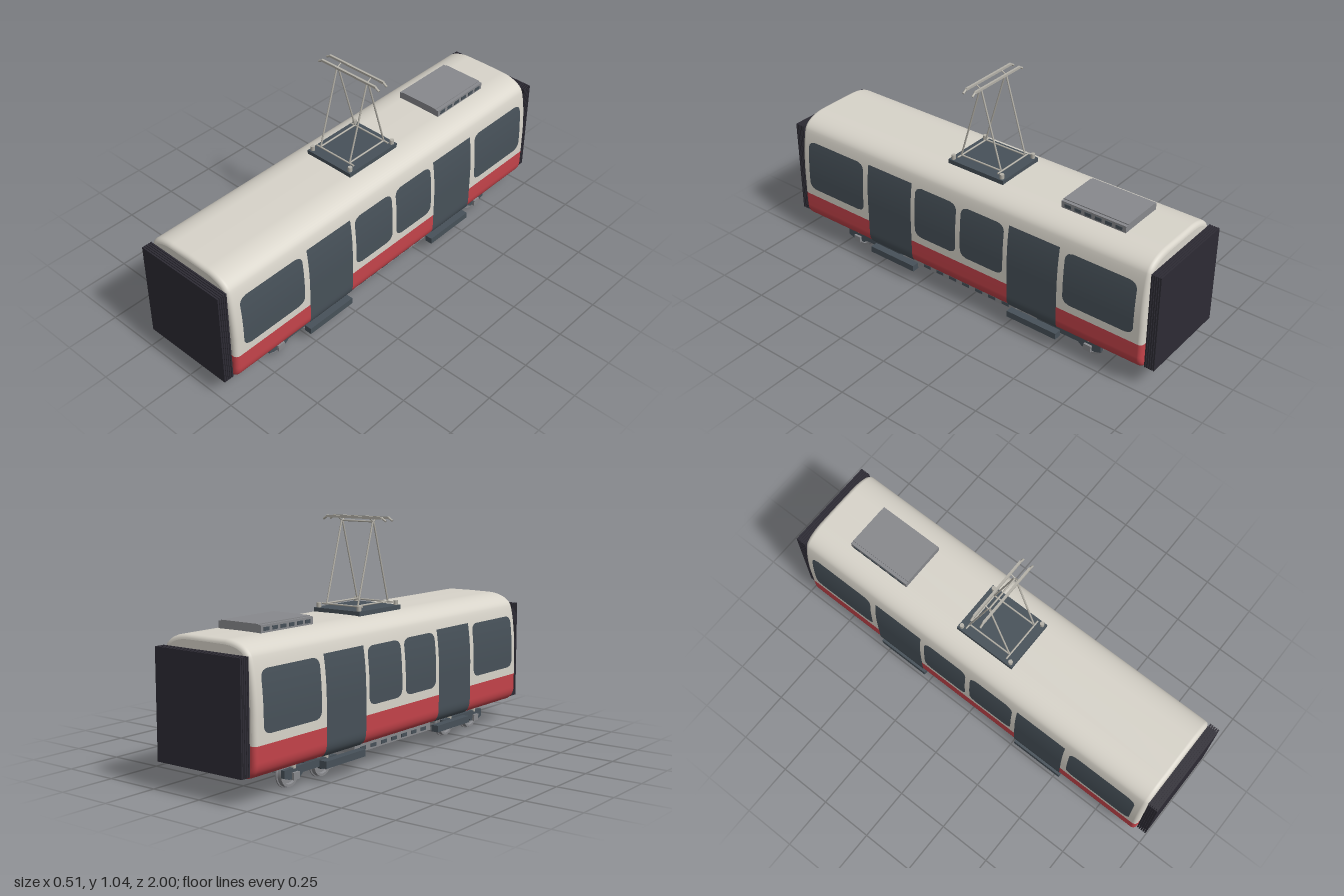
import * as THREE from 'three';
import { toCreasedNormals } from 'three/addons/utils/BufferGeometryUtils.js';

const mat = (name, color, side = THREE.FrontSide) => {
  const m = new THREE.MeshStandardMaterial({ color, side });
  m.name = name;
  return m;
};

export function createModel() {
  const model = new THREE.Group();
  model.name = 'tramCar';
  const cream = mat('cream', 0xd8d4ca), red = mat('red', 0xc4434a);
  const slate = mat('slate', 0x475159), black = mat('bellowsBlack', 0x2d2b34);
  const grey = mat('grey', 0x88898d), metal = mat('paleMetal', 0xb4b1a8);

  const add = (parent, name, geo, m) => {
    const mesh = new THREE.Mesh(geo, m);
    mesh.name = name;
    parent.add(mesh);
    return mesh;
  };
  const group = (name) => {
    const g = new THREE.Group();
    g.name = name;
    model.add(g);
    return g;
  };
  // box given by its limits on each axis
  const box = (parent, name, m, x0, x1, y0, y1, z0, z1) => {
    const b = add(parent, name, new THREE.BoxGeometry(x1 - x0, y1 - y0, z1 - z0), m);
    b.position.set((x0 + x1) / 2, (y0 + y1) / 2, (z0 + z1) / 2);
    return b;
  };
  const rod = (parent, name, m, a, b, r) => {
    const p = new THREE.Vector3(...a), q = new THREE.Vector3(...b);
    const mesh = add(parent, name, new THREE.CylinderGeometry(r, r, p.distanceTo(q), 8), m);
    mesh.position.copy(p).lerp(q, 0.5);
    mesh.quaternion.setFromUnitVectors(new THREE.Vector3(0, 1, 0), q.sub(p).normalize());
  };
  const surface = (pos, idx) => {
    const g = new THREE.BufferGeometry();
    g.setAttribute('position', new THREE.Float32BufferAttribute(pos, 3));
    g.setIndex(idx);
    g.computeVertexNormals();
    return g;
  };

  // Half cross-section of the body, from underside centre to roof centre
  const path = new THREE.Path();
  path.moveTo(0, 0.1).lineTo(0.18, 0.1);
  path.bezierCurveTo(0.225, 0.102, 0.25, 0.125, 0.25, 0.17);
  path.lineTo(0.25, 0.235).lineTo(0.25, 0.33);
  path.bezierCurveTo(0.25, 0.42, 0.24, 0.52, 0.224, 0.57);
  path.bezierCurveTo(0.212, 0.605, 0.16, 0.628, 0.1, 0.629);
  path.lineTo(0, 0.63);
  const prof = path.getPoints(12);
  const norms = prof.map((p, i) => {
    const a = prof[Math.max(i - 1, 0)], b = prof[Math.min(i + 1, prof.length - 1)];
    return i === 0 ? new THREE.Vector2(0, -1) : new THREE.Vector2(b.y - a.y, a.x - b.x).normalize();
  });

  // Body shell: rings along z with rounded ends, one mesh per colour band
  const rings = [];
  for (let k = 0; k <= 5; k++) {
    const t = (k / 5) * Math.PI / 2;
    rings.push([-0.95 + 0.02 * (1 - Math.sin(t)), 0.02 * (1 - Math.cos(t))]);
  }
  rings.reverse();
  rings.sort((a, b) => a[0] - b[0]);
  rings.push(...rings.slice().reverse().map(([z, d]) => [-z, d]));
  const shell = (name, m, i0, i1) => {
    const pos = [], idx = [], n = i1 - i0 + 1;
    const quad = (a, b, c, d, flip) => idx.push(...(flip ? [a, c, b, b, c, d] : [a, b, c, b, d, c]));
    for (const s of [1, -1]) {
      const base = pos.length / 3;
      rings.forEach(([z, inset], j) => {
        for (let i = 0; i < n; i++) {
          const p = prof[i0 + i], v = norms[i0 + i];
          pos.push(s * Math.max(p.x - v.x * inset, 0), p.y - v.y * inset, z);
          if (i && j) {
            const c = base + j * n + i;
            quad(c - n - 1, c - n, c - 1, c, s < 0);
          }
        }
      });
    }
    // flat end walls
    for (const [z, inset] of [rings[0], rings[rings.length - 1]]) {
      const base = pos.length / 3;
      for (let i = 0; i < n; i++) {
        const p = prof[i0 + i], v = norms[i0 + i];
        const x = Math.max(p.x - v.x * inset, 0), y = p.y - v.y * inset;
        pos.push(-x, y, z, x, y, z);
        const c = base + 2 * i;
        if (i) quad(c - 2, c - 1, c, c + 1, z < 0);
      }
    }
    add(model, name, surface(pos, idx), m);
  };
  const kFloor = prof.findIndex((p) => p.x > 0.179);
  const kBand = prof.findIndex((p) => p.y > 0.234);
  shell('underside', grey, 0, kFloor);
  shell('lowerBody', red, kFloor, kBand);
  shell('upperBodyAndRoof', cream, kBand, prof.length - 1);

  // Thin panes that follow the curve of the side walls
  const wallAt = (y) => {
    const i = Math.max(1, prof.findIndex((p) => p.y >= y));
    const t = (y - prof[i - 1].y) / (prof[i].y - prof[i - 1].y);
    const p = prof[i - 1].clone().lerp(prof[i], t);
    return p.addScaledVector(norms[i - 1].clone().lerp(norms[i], t).normalize(), 0.003);
  };
  const pane = (name, s, z0, z1, y0, y1, r) => {
    const pos = [], idx = [], rows = 40;
    for (let i = 0; i <= rows; i++) {
      const y = y0 + (y1 - y0) * i / rows;
      const d = Math.max(0, r - Math.min(y - y0, y1 - y));
      const inset = r - Math.sqrt(Math.max(0, r * r - d * d));
      const p = wallAt(y);
      pos.push(s * p.x, p.y, z0 + inset, s * p.x, p.y, z1 - inset);
      const a = 2 * i - 2;
      if (i) idx.push(...(s > 0 ? [a, a + 2, a + 1, a + 1, a + 2, a + 3] : [a, a + 1, a + 2, a + 1, a + 3, a + 2]));
    }
    add(model, name, surface(pos, idx), slate);
  };
  for (const s of [1, -1]) {
    for (const [z0, z1] of [[0.56, 0.905], [0.013, 0.247], [-0.247, -0.013], [-0.905, -0.56]])
      pane('window', s, z0, z1, 0.275, 0.523, 0.035);
    for (const z of [0.4, -0.4]) {
      pane('door', s, z - 0.13, z + 0.13, 0.1005, 0.53, 0);
      box(model, 'doorStep', slate, s * 0.2325 - 0.0175, s * 0.2325 + 0.0175, 0.063, 0.093, z - 0.13, z + 0.13);
    }
  }

  // Folded gangway bellows at both ends
  for (const s of [1, -1]) {
    const bellows = group('gangwayBellows');
    box(bellows, 'bellowsCore', black, -0.213, 0.213, 0.127, 0.563, s * 0.97 - 0.028, s * 0.97 + 0.028);
    for (let i = 0; i < 5; i++) {
      const z = s * (0.956 + i * 0.01);
      box(bellows, 'bellowsFold', black, -0.224, 0.224, 0.116, 0.576, z - 0.0035, z + 0.0035);
    }
  }

  // Underfloor equipment box with vents
  const equipment = group('underfloorEquipment');
  box(equipment, 'equipmentBox', grey, -0.2, 0.2, 0.066, 0.101, -0.28, 0.28);
  for (const s of [1, -1]) for (let i = -3; i <= 3; i++)
    box(equipment, 'equipmentVent', slate, s * 0.201 - 0.002, s * 0.201 + 0.002, 0.074, 0.09, i * 0.075 - 0.02, i * 0.075 + 0.02);

  // Bogies
  const wheelProfile = [[0, -0.012], [0.06, -0.012], [0.06, -0.006], [0.055, -0.004], [0.054, 0.014],
    [0.043, 0.014], [0.04, 0.004], [0.02, 0.004], [0.018, 0.016], [0, 0.016]];
  const wheelGeo = toCreasedNormals(new THREE.LatheGeometry(
    wheelProfile.map(([r, y]) => new THREE.Vector2(r, y)), 32).rotateZ(-Math.PI / 2), 0.6);
  const frameShape = new THREE.Shape([[-0.165, 0.055], [-0.135, 0.045], [-0.07, 0.045], [-0.05, 0.06], [0.05, 0.06],
    [0.07, 0.045], [0.135, 0.045], [0.165, 0.055], [0.165, 0.088], [0.06, 0.092], [-0.06, 0.092], [-0.165, 0.088]]
    .map(([x, y]) => new THREE.Vector2(x, y)));
  const frameGeo = new THREE.ExtrudeGeometry(frameShape, { depth: 0.018, bevelEnabled: false })
    .translate(0, 0, -0.009).rotateY(Math.PI / 2);
  for (const zc of [0.56, -0.56]) {
    const bogie = group('bogie');
    bogie.position.z = zc;
    box(bogie, 'bolster', slate, -0.19, 0.19, 0.074, 0.101, -0.04, 0.04);
    for (const s of [1, -1]) add(bogie, 'sideFrame', frameGeo, slate).position.x = s * 0.187;
    for (const z of [-0.103, 0.103]) {
      rod(bogie, 'axle', grey, [-0.2, 0.06, z], [0.2, 0.06, z], 0.01);
      for (const s of [1, -1]) {
        const wheel = add(bogie, 'wheel', wheelGeo, grey);
        wheel.position.set(s * 0.158, 0.06, z);
        if (s < 0) wheel.rotation.y = Math.PI;
        box(bogie, 'axleBox', grey, s * 0.2 - 0.007, s * 0.2 + 0.007, 0.042, 0.072, z - 0.018, z + 0.018);
        rod(bogie, 'spring', metal, [s * 0.187, 0.085, z], [s * 0.187, 0.102, z], 0.012);
      }
    }
  }

  // Roof ventilation unit
  const vent = group('roofUnit');
  box(vent, 'roofUnitBody', grey, -0.098, 0.098, 0.625, 0.664, -0.76, -0.445);
  for (const s of [1, -1]) {
    box(vent, 'roofUnitSide', grey, s * 0.105 - 0.008, s * 0.105 + 0.008, 0.625, 0.66, -0.76, -0.445);
    for (let i = 0; i < 6; i++) {
      const z = -0.7275 + i * 0.05;
      box(vent, 'roofUnitSlot', slate, s * 0.1135 - 0.002, s * 0.1135 + 0.002, 0.636, 0.651, z - 0.016, z + 0.016);
    }
  }

  // Pantograph
  const panto = group('pantograph');
  box(panto, 'pantographBase', slate, -0.125, 0.125, 0.626, 0.647, -0.15, 0.15);
  for (const sx of [1, -1]) {
    rod(panto, 'baseRail', metal, [sx * 0.085, 0.664, -0.11], [sx * 0.085, 0.664, 0.11], 0.004);
    for (const sz of [1, -1]) {
      rod(panto, 'insulator', metal, [sx * 0.11, 0.645, sz * 0.133], [sx * 0.11, 0.668, sz * 0.133], 0.01);
      rod(panto, 'arm', metal, [sx * 0.085, 0.66, sz * 0.11], [sx * 0.085, 1.02, sz * 0.003], 0.004);
    }
  }
  for (const s of [1, -1]) {
    rod(panto, 'crossBar', metal, [-0.11, 0.662, s * 0.11], [0.11, 0.662, s * 0.11], 0.004);
    box(panto, 'contactStrip', metal, -0.152, 0.152, 1.032, 1.042, s * 0.024 - 0.005, s * 0.024 + 0.005);
    for (const e of [1, -1]) {
      rod(panto, 'stripHorn', metal, [e * 0.15, 1.037, s * 0.024], [e * 0.17, 1.025, s * 0.024], 0.005);
      rod(panto, 'stripSupport', metal, [e * 0.085, 1.02, 0], [e * 0.085, 1.034, s * 0.024], 0.003);
    }
  }
  rod(panto, 'topBar', metal, [-0.088, 1.02, 0], [0.088, 1.02, 0], 0.004);
  return model;
}
